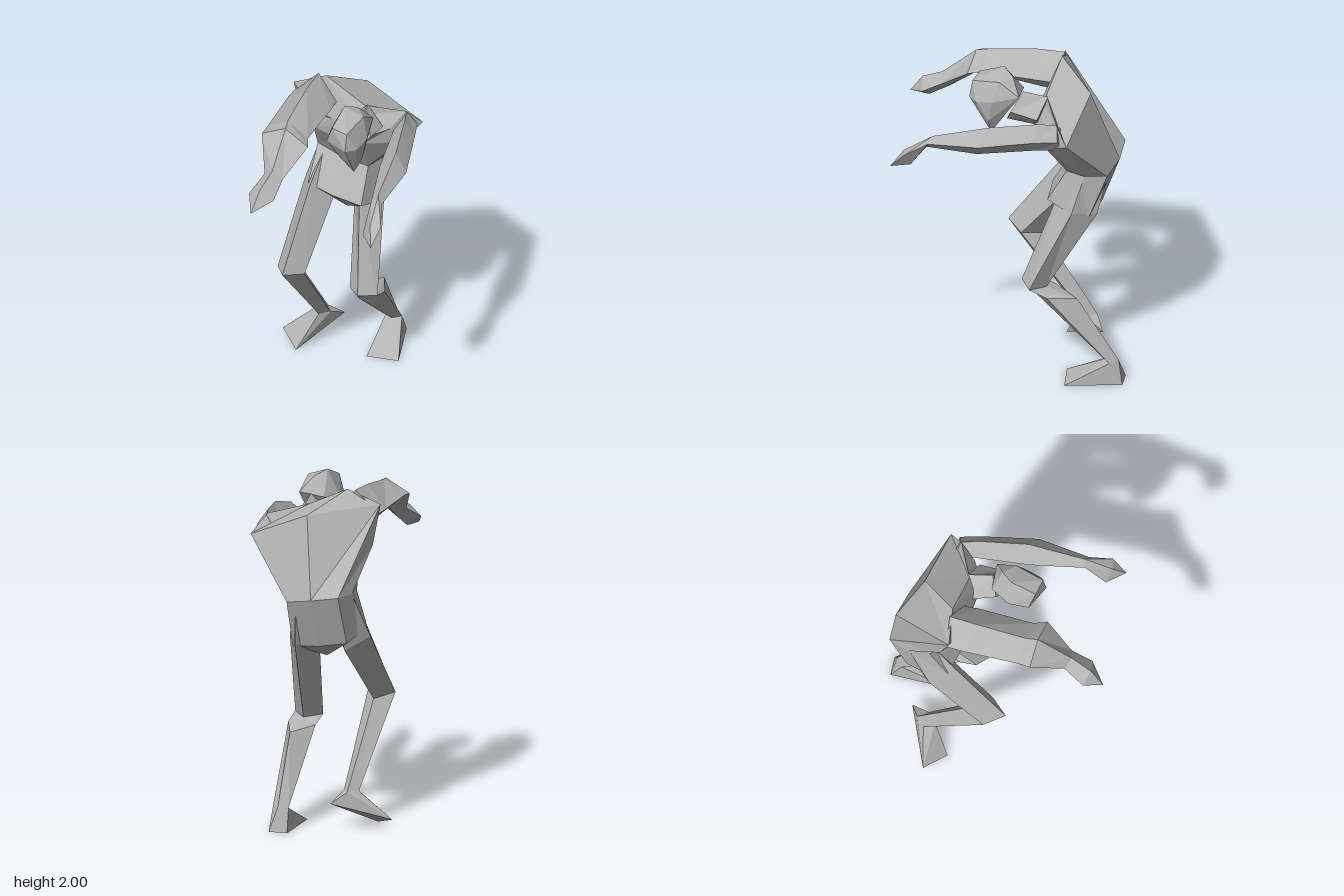
import * as THREE from 'three';
import { ConvexGeometry } from 'three/addons/geometries/ConvexGeometry.js';

const clay = new THREE.MeshStandardMaterial({ color: 0xb4b4b4, flatShading: true });
clay.name = 'grey clay';

// Cross-section about a centre: half width w along x, half depth (dy, dz),
// rise lifts the +x side. Four sides give a diamond, eight a rounded box.
function section([x, y, z], w, [dy, dz], rise = 0, sides = 4) {
  return Array.from({ length: sides }, (_, i) => {
    const angle = (i / sides) * Math.PI * 2;
    const bulge = i % 2 && sides === 8 ? 1.2 : 1;
    const s = Math.sin(angle) * bulge, c = Math.cos(angle) * bulge;
    return [x + w * s, y + dy * c + rise * s, z + dz * c];
  });
}

// Faceted skin through matching sections, closed by fans; endTip is the last fan's centre
function loft(rings, endTip) {
  const n = rings[0].length;
  const mean = (r) => [0, 1, 2].map((k) => r.reduce((sum, p) => sum + p[k], 0) / n);
  const last = rings[rings.length - 1];
  const v = [...rings.flat(), mean(rings[0]), endTip || mean(last)].map((p) => new THREE.Vector3(...p));
  const base = (rings.length - 1) * n, tips = rings.length * n;
  const tris = [];
  for (let i = 0; i < n; i++) {
    const k = (i + 1) % n;
    for (let j = 0; j < base; j += n) {
      tris.push([j + i, j + k, j + n + k], [j + i, j + n + k, j + n + i]);
    }
    tris.push([tips, k, i], [tips + 1, base + i, base + k]);
  }
  // Turn the faces outward whichever way the sections run
  const cross = new THREE.Vector3();
  const volume = tris.reduce((sum, [a, b, c]) => sum + v[a].dot(cross.crossVectors(v[b], v[c])), 0);
  const indexed = new THREE.BufferGeometry().setFromPoints(v);
  indexed.setIndex(tris.flatMap(([a, b, c]) => (volume < 0 ? [a, c, b] : [a, b, c])));
  const geometry = indexed.toNonIndexed();
  geometry.computeVertexNormals();
  return geometry;
}

// Faceted solid around a handful of corner points
const hull = (points) => new ConvexGeometry(points.map((p) => new THREE.Vector3(...p)));

export function createModel() {
  const model = new THREE.Group();
  model.name = 'stooping figure';
  const add = (name, geometry) => {
    const mesh = new THREE.Mesh(geometry, clay);
    mesh.name = name;
    model.add(mesh);
  };

  // Trunk: each section runs from the front middle round by the left side
  const hips = section([-0.15, 1.125, -0.35], 0.205, [0.04, 0.15], -0.03, 8);
  const waist = section([-0.155, 1.375, -0.46], 0.195, [-0.005, 0.145], -0.035, 8);
  const chest = [
    [-0.1, 1.59, -0.18], [0.05, 1.6, -0.19], [0.25, 1.62, -0.29], [0.315, 1.69, -0.437],
    [-0.06, 1.846, -0.46], [-0.4, 1.89, -0.19], [-0.38, 1.66, -0.25], [-0.27, 1.62, -0.19],
  ];
  const collar = [
    [-0.04, 1.7, -0.16], [0.09, 1.68, -0.16], [0.2, 1.72, -0.25], [0.25, 1.8, -0.35],
    [0.045, 1.85, -0.225], [-0.21, 1.97, -0.235], [-0.27, 1.75, -0.18], [-0.14, 1.73, -0.17],
  ];
  add('pelvis', loft([waist, hips], [-0.14, 1, -0.36]));
  add('torso', loft([waist, chest, collar], [0, 1.79, -0.18]));

  // Neck and bowed head
  add('neck', loft([
    section([0.06, 1.75, -0.21], 0.115, [0.1, -0.03]),
    section([0.095, 1.78, -0.05], 0.085, [0.1, -0.05]),
  ]));
  add('head', hull([
    [0.05, 2, 0.03], [0.17, 1.96, 0.02], [0.05, 1.94, 0.18], [0.15, 1.93, 0.19],
    [0.21, 1.84, 0.05], [-0.025, 1.84, 0.04], [0.17, 1.88, -0.1], [0.02, 1.86, -0.08],
    [0.1, 1.97, -0.04], [0.15, 1.82, 0.21], [0, 1.82, 0.155], [0.2, 1.82, 0.155],
    [0.19, 1.7, 0.08], [0.14, 1.6, 0.08], [0.05, 1.67, 0.08],
  ]));

  // Arms: shoulder, upper arm, elbow, wrist; the hand widens at the palm and ends in a point
  const leftWrist = section([0.435, 1.65, 0.355], 0.035, [0.04, -0.02]);
  add('leftArm', loft([
    section([0.25, 1.71, -0.38], 0.06, [0.08, 0.02]),
    section([0.29, 1.71, -0.25], 0.07, [0.09, -0.01]),
    section([0.38, 1.68, 0.05], 0.085, [0.095, -0.035]),
    leftWrist,
  ]));
  add('leftHand', loft(
    [leftWrist, section([0.47, 1.54, 0.48], 0.06, [0.045, 0.02], 0.045)], [0.51, 1.485, 0.57]));

  const rightWrist = section([-0.18, 1.7, 0.465], 0.06, [0.045, 0.02]);
  add('rightArm', loft([
    section([-0.26, 1.835, -0.21], 0.135, [0.135, -0.025]),
    section([-0.25, 1.84, -0.1], 0.14, [0.125, 0.03]),
    section([-0.22, 1.845, 0.22], 0.132, [0.082, -0.005]),
    section([-0.2, 1.84, 0.29], 0.15, [0.078, -0.005]),
    rightWrist,
  ]));
  add('rightHand', loft(
    [rightWrist, section([-0.195, 1.625, 0.59], 0.08, [0.057, 0.02])], [-0.21, 1.565, 0.69]));

  // Legs: flank, hip, knee, calf and ankle; each foot is a wedge from the ankle
  const leftAnkle = section([0.03, 0.135, -0.62], 0.05, [-0.005, 0.04]);
  add('leftLeg', loft([
    section([-0.04, 1.33, -0.45], 0.075, [0.01, 0.12]),
    section([-0.01, 1.1, -0.39], 0.095, [0.025, 0.125]),
    section([0.075, 0.59, -0.16], 0.09, [0.012, 0.075]),
    section([0.07, 0.55, -0.265], 0.088, [0.02, 0.155]),
    leftAnkle,
  ]));
  add('leftFoot', hull([...leftAnkle,
    [-0.04, 0, -0.68], [0.07, 0, -0.695], [0, 0, -0.335], [0.185, 0, -0.38]]));

  const rightAnkle = section([-0.3, 0.215, -0.365], 0.048, [0, 0.055]);
  add('rightLeg', loft([
    section([-0.27, 1.38, -0.44], 0.08, [0, 0.11]),
    section([-0.29, 1.13, -0.31], 0.105, [0.07, 0.125]),
    section([-0.305, 0.725, 0.018], 0.088, [0.028, 0.108]),
    rightAnkle,
  ]));
  add('rightFoot', hull([...rightAnkle,
    [-0.39, 0, -0.2], [-0.53, 0.05, -0.3], [-0.22, 0.15, -0.48]]));

  return model;
}
